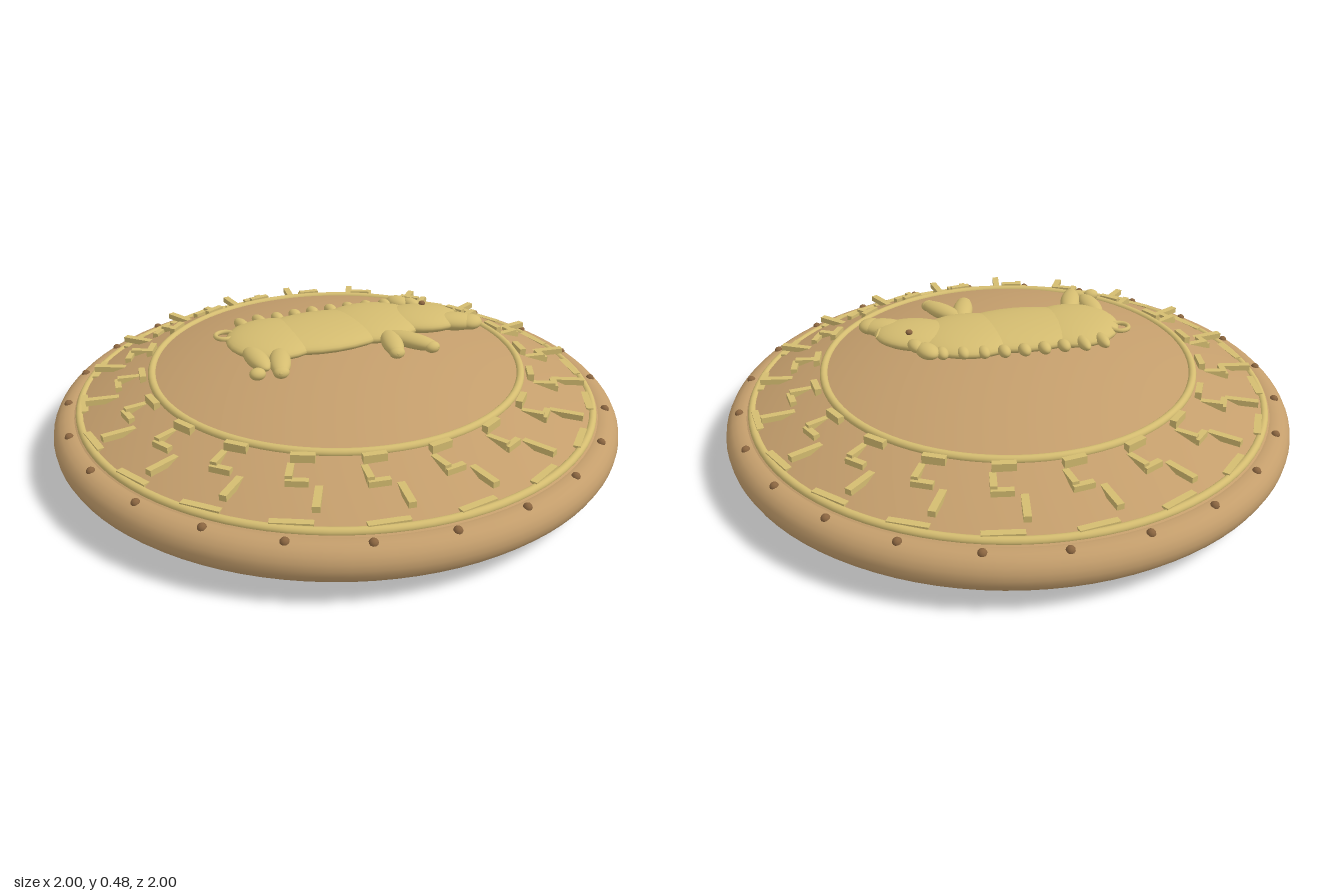
import * as THREE from 'three';

const mat = (name, color, side = THREE.FrontSide) => {
  const m = new THREE.MeshStandardMaterial({ color, side });
  m.name = name;
  return m;
};

export function createModel() {
  const bronze = mat('bronze', 0xc49e6c);
  const gold = mat('gold', 0xd4bc70);
  const rivetBrown = mat('rivet brown', 0x8a6540);
  const leather = mat('dark lining', 0x4a372b);
  const strap = mat('strap bronze', 0xb48c5c, THREE.DoubleSide);

  const model = new THREE.Group();
  model.name = 'shield';
  const add = (parent, name, geo, material, x = 0, y = 0, z = 0) => {
    const m = new THREE.Mesh(geo, material);
    m.name = name;
    m.position.set(x, y, z);
    parent.add(m);
    return m;
  };
  const group = (name) => {
    const g = new THREE.Group();
    g.name = name;
    model.add(g);
    return g;
  };

  // Domed face and its dark inner lining
  const R = 2.04;
  const domeY = (r) => 0.42 - R + Math.sqrt(R * R - r * r);
  const cap = (edge, drop) => Array.from({ length: 25 }, (_, i) => {
    const r = edge * (1 - i / 24);
    return new THREE.Vector2(r, domeY(r) - drop);
  });
  add(model, 'dome', new THREE.LatheGeometry(cap(0.94, 0), 96), bronze);
  add(model, 'lining', new THREE.LatheGeometry(cap(0.92, 0.02).reverse(), 96), leather);

  // Rolled rim and raised rings
  const ring = (name, radius, tube, y, material) => {
    add(model, name, new THREE.TorusGeometry(radius, tube, 20, 96), material, 0, y, 0).rotation.x = -Math.PI / 2;
  };
  ring('rim', 0.935, 0.065, 0.135, bronze);
  ring('outerRing', 0.905, 0.014, 0.205, gold);
  ring('innerRing', 0.65, 0.014, 0.313, gold);

  // Rivets around the rim, outside and inside
  const rivets = group('rivets');
  const rivetGeo = new THREE.SphereGeometry(0.015, 12, 8);
  for (let i = 0; i < 24; i++) {
    const a = (i * Math.PI) / 12, s = Math.sin(a), c = Math.cos(a);
    add(rivets, 'rivet', rivetGeo, rivetBrown, 0.95 * s, 0.195, 0.95 * c);
    add(rivets, 'innerRivet', rivetGeo, rivetBrown, 0.883 * s, 0.147, 0.883 * c).scale.setScalar(0.7);
  }

  // Key pattern: [tangent offset, height, radius, width, thickness, radial depth]
  const keyBars = [
    [0, 0.26, 0.81, 0.024, 0.02, 0.14],
    [-0.07, 0.213, 0.885, 0.13, 0.02, 0.024],
    [-0.065, 0.277, 0.765, 0.07, 0.02, 0.022],
    [-0.09, 0.285, 0.72, 0.022, 0.025, 0.09],
    [-0.055, 0.305, 0.68, 0.075, 0.04, 0.022],
  ];
  const pattern = group('keyPattern');
  for (let i = 0; i < 20; i++) {
    const unit = new THREE.Group();
    unit.name = 'keyUnit';
    unit.rotation.y = ((11 + 18 * i) * Math.PI) / 180;
    for (const [x, y, z, w, h, d] of keyBars) add(unit, 'keyBar', new THREE.BoxGeometry(w, h, d), gold, x, y, z);
    pattern.add(unit);
  }

  // Boar relief lying on the dome
  const boar = group('boar');
  const blob = (name, x, z, rx, rz, ry = 0.03, y = 0.435, turn = 0, material = gold) => {
    const m = add(boar, name, new THREE.SphereGeometry(1, 28, 18), material, x, y, z);
    m.scale.set(rx, ry, rz);
    m.rotation.y = turn;
    return m;
  };
  blob('rump', -0.23, -0.005, 0.165, 0.165, 0.038);
  blob('belly', -0.05, -0.005, 0.27, 0.165, 0.04);
  blob('shoulder', 0.14, -0.02, 0.19, 0.165, 0.04);
  blob('head', 0.32, 0.015, 0.15, 0.11, 0.036, 0.438, -0.35);
  blob('muzzle', 0.42, 0.085, 0.09, 0.05, 0.03, 0.438, -0.4);
  blob('snout', 0.47, 0.11, 0.045, 0.042, 0.026, 0.438);
  blob('ear', 0.3, -0.135, 0.035, 0.05, 0.025, 0.445, 0.5);
  blob('earTip', 0.335, -0.1, 0.025, 0.04, 0.02, 0.45, 0.3);
  blob('eye', 0.35, -0.035, 0.012, 0.012, 0.01, 0.472, 0, rivetBrown);
  for (let i = 0; i < 9; i++) {
    const x = -0.3 + i * 0.069;
    blob('bristle', x, -0.15 - 0.025 * Math.sin((i / 8) * Math.PI), 0.021, i < 2 ? 0.05 : 0.032, 0.02, 0.44, 0.15);
  }

  // Legs with rounded hooves: [hip x, hip z, hoof x, hoof z]
  for (const [x0, z0, x1, z1] of [
    [-0.34, 0.08, -0.33, 0.2], [-0.25, 0.12, -0.29, 0.255],
    [0.15, 0.11, 0.12, 0.25], [0.16, 0.12, 0.25, 0.25],
  ]) {
    const dx = x1 - x0, dz = z1 - z0;
    blob('leg', (x0 + x1) / 2, (z0 + z1) / 2, 0.036, Math.hypot(dx, dz) / 2 + 0.03, 0.026, 0.438, Math.atan2(dx, dz));
    blob('hoof', x1 + (x1 < -0.32 ? -0.035 : 0), z1 + (x1 < -0.32 ? 0.045 : 0.005), 0.027, 0.024, 0.02, 0.435);
  }

  // Tusk and curled tail
  const tusk = add(boar, 'tusk', new THREE.ConeGeometry(0.009, 0.06, 10), gold, 0.455, 0.45, 0.015);
  tusk.rotation.set(-Math.PI / 2, 0, -0.3);
  const tail = add(boar, 'tail', new THREE.TorusGeometry(0.032, 0.008, 10, 24), gold, -0.385, 0.445, -0.07);
  tail.rotation.x = Math.PI / 2;

  // Arm band and hand grip on the hollow side
  const band = add(model, 'armBand', new THREE.CylinderGeometry(0.17, 0.17, 0.145, 48, 1, true), strap, 0, 0.175, 0.015);
  band.rotation.x = Math.PI / 2;
  const grip = add(model, 'handGrip', new THREE.CylinderGeometry(0.018, 0.018, 0.58, 16), strap, -0.69, 0.19, 0.01);
  grip.rotation.x = Math.PI / 2;

  return model;
}
